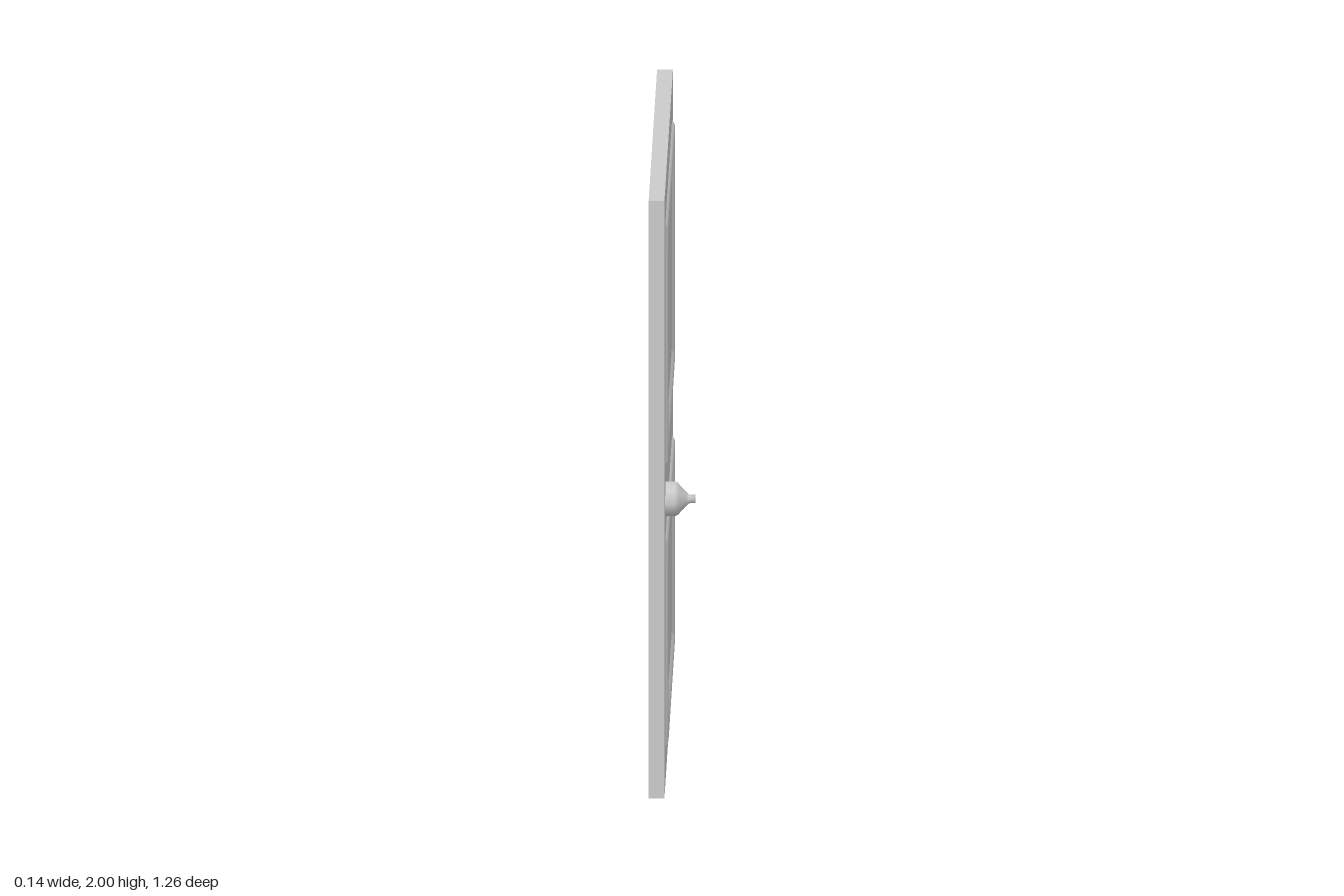
import * as THREE from 'three';

const FACE_X = -0.022; // plane of the decorated side
const material = new THREE.MeshStandardMaterial({ color: 0xcccccc, side: THREE.DoubleSide });

// Mitred rectangular moulding: one profile carried round four corners.
function makeMoulding(y0, y1, halfZ) {
  // [inset from outer edge, height above the door face]
  const profile = [[0, 0], [0.006, 0.006], [0.014, 0.01], [0.026, 0.01], [0.036, 0.006], [0.045, 0]];
  const n = profile.length;
  const cy = (y0 + y1) / 2, halfY = (y1 - y0) / 2;
  const corners = [[1, -1], [-1, -1], [-1, 1], [1, 1]]; // z, y signs, counter-clockwise from +x
  const positions = [], index = [];
  for (let side = 0; side < 4; side++) {
    const base = side * 2 * n; // separate sides keep the mitres crisp
    for (const [sz, sy] of [corners[side], corners[(side + 1) % 4]]) {
      for (const [inset, h] of profile) {
        positions.push(FACE_X + h, cy + sy * (halfY - inset), sz * (halfZ - inset));
      }
    }
    for (let i = 0; i < n - 1; i++) {
      const a = base + i, b = a + n;
      index.push(a, b, a + 1, b, b + 1, a + 1);
    }
  }
  const g = new THREE.BufferGeometry();
  g.setAttribute('position', new THREE.Float32BufferAttribute(positions, 3));
  g.setIndex(index);
  g.computeVertexNormals();
  return g;
}

export function createModel() {
  const group = new THREE.Group();
  const add = (name, geometry) => {
    const mesh = new THREE.Mesh(geometry, material);
    mesh.name = name;
    group.add(mesh);
    return mesh;
  };

  // Hollow slab, open underneath
  const slab = new THREE.BoxGeometry(0.05, 2, 1.265);
  const faces = Array.from(slab.index.array);
  faces.splice(18, 6); // drop the bottom face
  slab.setIndex(faces);
  slab.clearGroups();
  add('doorSlab', slab).position.set(FACE_X - 0.025, 1, 0);

  // Raised panel mouldings
  add('upperPanelMoulding', makeMoulding(1.075, 1.875, 0.507));
  add('lowerPanelMoulding', makeMoulding(0.13, 0.82, 0.507));

  // Eight-sided knob with a slim tip
  const knobProfile = [
    [0.058, 0], [0.058, 0.03], [0.054, 0.04], [0.044, 0.047], [0.033, 0.058],
    [0.022, 0.067], [0.015, 0.074], [0.014, 0.094], [0, 0.094],
  ].map(([r, h]) => new THREE.Vector2(r, h));
  const knob = add('doorKnob', new THREE.LatheGeometry(knobProfile, 8));
  knob.rotation.z = -Math.PI / 2;
  knob.position.set(FACE_X, 0.945, 0.463);

  return group;
}
